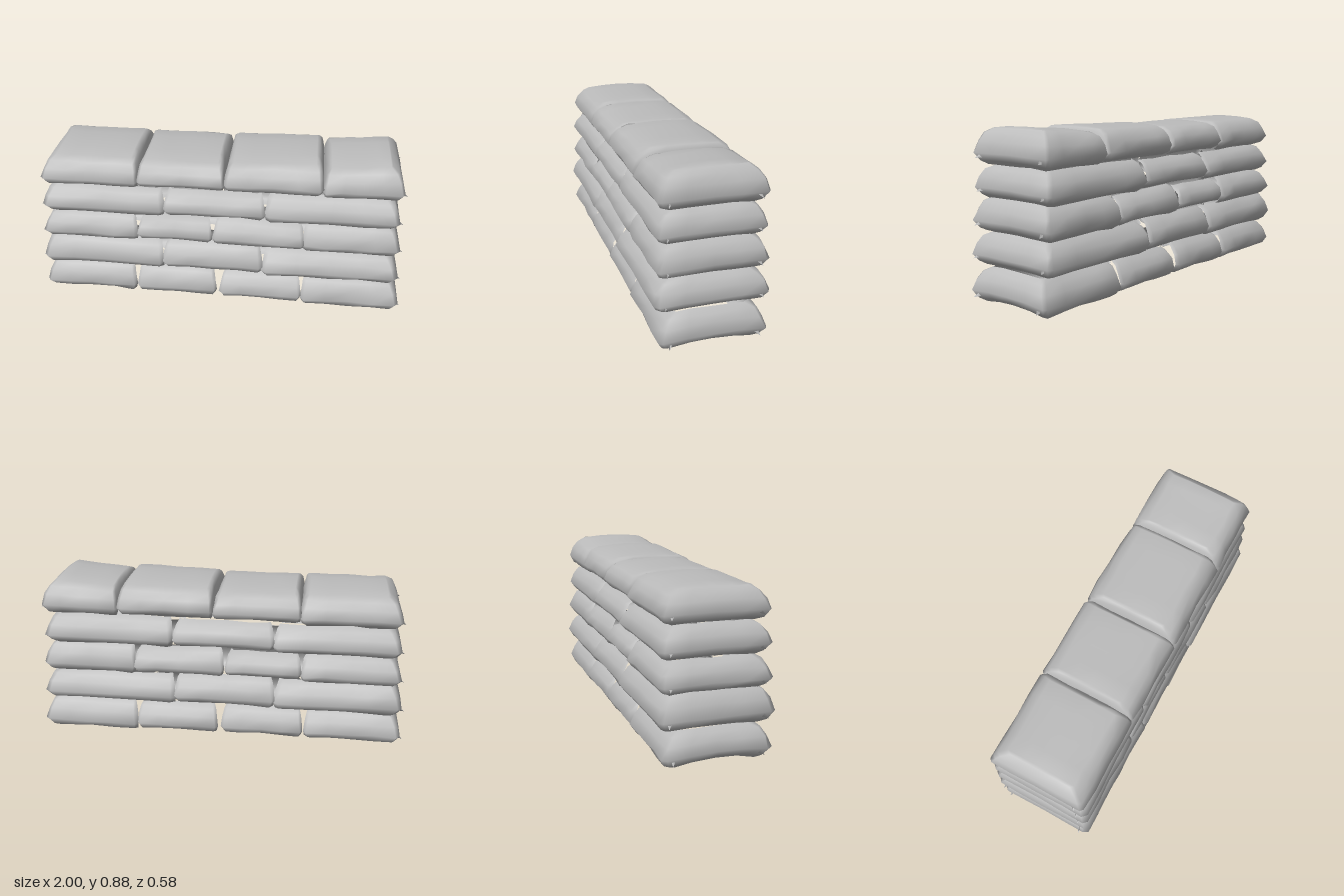
import * as THREE from 'three';

// Small seeded generator for the uneven cloth
let seed = 7;
const rand = () => {
  seed = (seed * 16807) % 2147483647;
  return seed / 2147483647 - 0.5;
};

// Bag outline from hem to shoulder: height fraction, inset at the sides, inset at the ends
const PROFILE = [
  [0.0, 0.055, 0.03],
  [0.1, 0.022, 0.014],
  [0.3, 0.0, 0.0],
  [0.6, 0.018, 0.01],
  [0.82, 0.045, 0.022],
  [0.94, 0.085, 0.04],
];
const SIDE = [-0.93, -0.5, 0, 0.5, 0.93];
const S = SIDE.length, RING = S * 4;

// Hollow shell, open underneath and towards its neighbours; only the top course has crowns
function bagGeometry({ length, height, halfWidth, tilt, outer, arch, crown }) {
  const pos = [], idx = [];
  PROFILE.forEach(([h, insetZ, insetX]) => {
    for (let k = 0; k < 4; k++) {
      for (const s of SIDE) {
        let p = 1, q = s;
        for (let r = 0; r < k; r++) [p, q] = [-q, p];
        const halfX = length / 2 - insetX * (outer[p > 0 ? 0 : 1] ? 1.7 : 0.7);
        const lift = (1 - s * s) * (k % 2 ? 0.006 : arch) * (1 - h);
        pos.push(
          p * halfX + rand() * 0.005,
          h * height + lift + p * tilt * h + rand() * 0.006,
          -q * (halfWidth - insetZ) + rand() * 0.012
        );
      }
    }
  });
  for (let i = 0; i < PROFILE.length - 1; i++) {
    for (let j = 0; j < RING; j++) {
      // Leave out the end walls that face another bag
      const k = Math.floor(j / S);
      const innerEnd = k % 2 === 0 && j % S < S - 1 && !outer[k / 2];
      if (innerEnd && !(crown && i >= 2)) continue;
      const a = i * RING + j, b = i * RING + (j + 1) % RING;
      idx.push(a, b, b + RING, a, b + RING, a + RING);
    }
  }

  // Crown: columns of points across the bag, gently domed
  if (crown) {
    const at = (k, m) => (PROFILE.length - 1) * RING + k * S + m;
    const columns = [SIDE.map((_, j) => at(0, j))];
    for (let m = 0; m < S; m++) {
      const front = at(3, S - 1 - m), back = at(1, m);
      const column = [front];
      for (let j = 1; j < S - 1; j++) {
        const t = (1 + SIDE[j]) / 2;
        const mix = (c) => pos[front * 3 + c] * (1 - t) + pos[back * 3 + c] * t;
        const dome = height * 0.07 * (1 - SIDE[j] ** 2);
        column.push(pos.length / 3);
        pos.push(mix(0), mix(1) + dome, mix(2));
      }
      columns.push([...column, back]);
    }
    columns.push(SIDE.map((_, j) => at(2, S - 1 - j)));
    for (let c = 0; c < columns.length - 1; c++) {
      for (let j = 0; j < S - 1; j++) {
        const [a, b] = [columns[c][j], columns[c][j + 1]];
        const [d, e] = [columns[c + 1][j], columns[c + 1][j + 1]];
        idx.push(a, b, e, a, e, d);
      }
    }
  }

  const geo = new THREE.BufferGeometry();
  geo.setAttribute('position', new THREE.Float32BufferAttribute(pos, 3));
  geo.setIndex(idx);
  geo.computeVertexNormals();
  return geo;
}

// Courses from the ground up: half width, then bags as [x start, x end, bottom, top, tilt]
const COURSES = [
  { halfWidth: 0.27, bags: [[-0.985, -0.465, 0.02, 0.205, 0], [-0.465, -0.015, 0.02, 0.2, 0], [0, 0.455, 0.015, 0.19, 0], [0.45, 0.985, 0, 0.195, 0]] },
  { halfWidth: 0.287, bags: [[-0.98, -0.3, 0.195, 0.38, -0.01], [-0.31, 0.24, 0.2, 0.38, 0], [0.23, 0.965, 0.19, 0.365, 0]] },
  { halfWidth: 0.277, bags: [[-0.965, -0.44, 0.36, 0.53, 0], [-0.445, -0.035, 0.375, 0.52, 0], [-0.035, 0.46, 0.365, 0.53, -0.01], [0.445, 0.96, 0.355, 0.54, 0]] },
  { halfWidth: 0.274, bags: [[-0.955, -0.29, 0.52, 0.685, -0.006], [-0.3, 0.245, 0.53, 0.685, 0], [0.24, 0.945, 0.52, 0.695, 0]] },
  { halfWidth: 0.268, bags: [[-0.95, -0.425, 0.68, 0.85, 0], [-0.435, 0.03, 0.69, 0.845, 0], [0.025, 0.54, 0.69, 0.86, 0.004], [0.535, 0.95, 0.685, 0.863, 0.014]] },
];

export function createModel() {
  const model = new THREE.Group();
  model.name = 'sandbagWall';
  const sackcloth = new THREE.MeshStandardMaterial({ color: 0xbcbcbc, side: THREE.DoubleSide });
  sackcloth.name = 'grey sackcloth';

  COURSES.forEach(({ halfWidth, bags }, row) => {
    const course = new THREE.Group();
    course.name = `course${row + 1}`;
    model.add(course);

    bags.forEach(([x0, x1, y0, y1, tilt], i) => {
      const first = i === 0, last = i === bags.length - 1;
      const bag = new THREE.Mesh(bagGeometry({
        length: x1 - x0, height: y1 - y0, halfWidth, tilt,
        outer: [last, first],
        arch: row === 0 ? 0.025 : 0.006,
        crown: row === COURSES.length - 1,
      }), sackcloth);
      bag.name = 'sandbag';
      bag.position.set((x0 + x1) / 2, y0, 0);
      course.add(bag);

      // Pinched corner ears on the outer ends of the wall
      for (const side of [-1, 1]) {
        if (!(side < 0 ? first : last)) continue;
        for (const front of [-1, 1]) {
          const ear = new THREE.Mesh(new THREE.ConeGeometry(0.035, 0.1, 3, 1, true), sackcloth);
          ear.name = 'cornerEar';
          ear.position.set((side < 0 ? x0 : x1) - side * 0.03, y0 + 0.05, front * (halfWidth - 0.06));
          const direction = new THREE.Vector3(side * 0.9, -0.3, front * 0.3).normalize();
          ear.quaternion.setFromUnitVectors(new THREE.Vector3(0, 1, 0), direction);
          course.add(ear);
        }
      }
    });
  });
  return model;
}
